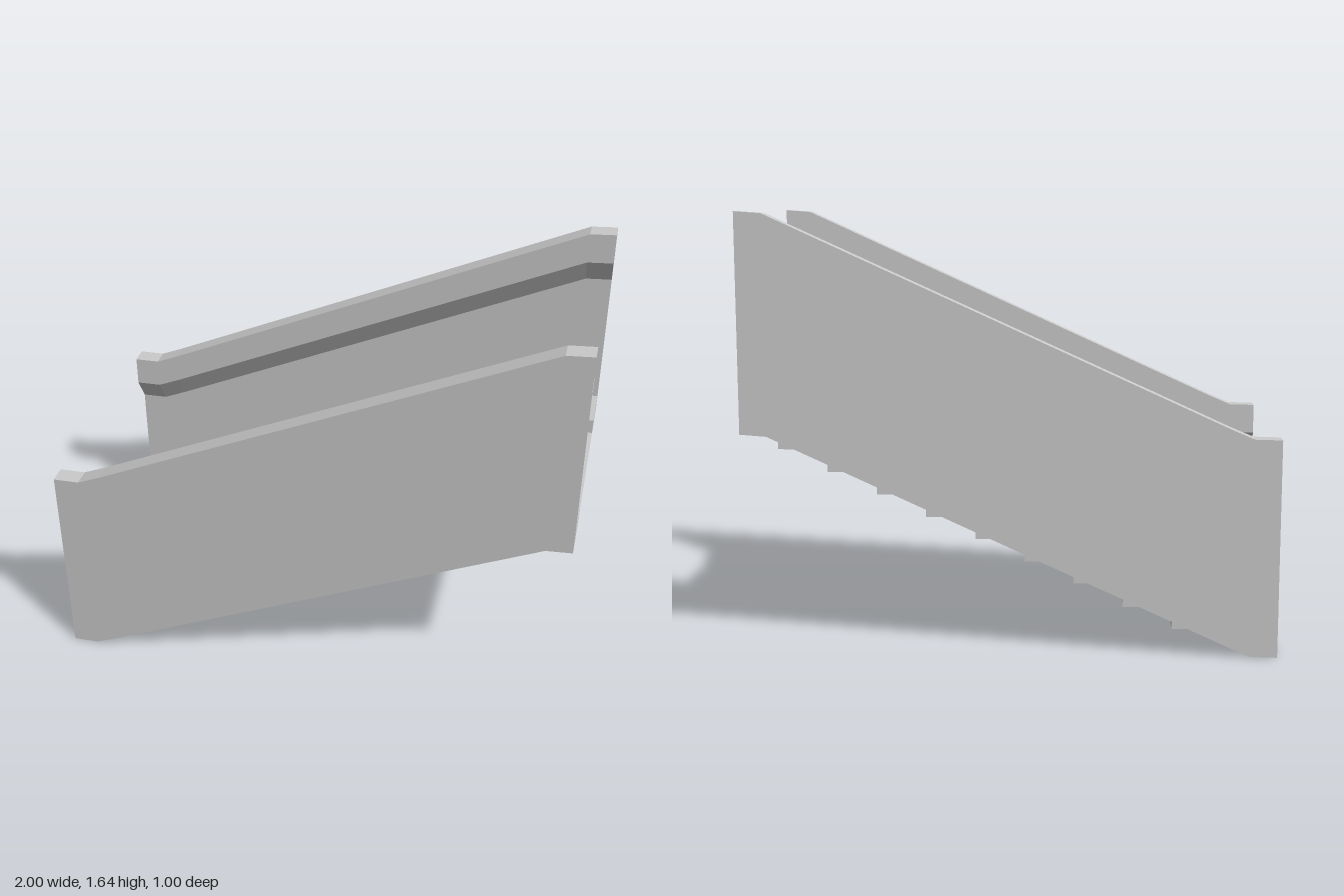
import * as THREE from 'three';

const material = new THREE.MeshStandardMaterial({ color: 0xcccccc, flatShading: true, side: THREE.DoubleSide });

// Slope line [x, y] followed by the walls and curbs, flat at both ends
const slope = [[-1, 0], [-0.9, 0.002], [-0.81, 0.04], [0.9, 0.818], [1, 0.825]];

// Stepped line [x, y] of the treads and risers
const stepY = [0, 0.045, 0.13, 0.22, 0.305, 0.392, 0.477, 0.563, 0.65, 0.737, 0.825];
const steps = [[-1, 0]];
for (let i = 1; i < stepY.length; i++) {
  const x = -1 + 0.19 * i;
  steps.push([x, stepY[i - 1]], [x, stepY[i]]);
}
steps.push([1, 0.825]);

const curbHeight = 0.06, curbInner = 0.3, wallInner = 0.49;

// Open sheet: cross-section [z, height] swept along a path [x, y]
function sweep(path, section, mirrored = false) {
  const positions = [];
  const point = (i, j) => [path[i][0], path[i][1] + section[j][1], section[j][0] * (mirrored ? -1 : 1)];
  for (let i = 0; i < path.length - 1; i++) {
    for (let j = 0; j < section.length - 1; j++) {
      const a = point(i, j), b = point(i + 1, j), c = point(i + 1, j + 1), d = point(i, j + 1);
      const quad = mirrored ? [a, c, b, a, d, c] : [a, b, c, a, c, d];
      positions.push(...quad.flat());
    }
  }
  const geometry = new THREE.BufferGeometry();
  geometry.setAttribute('position', new THREE.Float32BufferAttribute(positions, 3));
  geometry.computeVertexNormals();
  return geometry;
}

function add(parent, name, geometry) {
  const mesh = new THREE.Mesh(geometry, material);
  mesh.name = name;
  parent.add(mesh);
  return mesh;
}

// Upright curb face, from the curb's top edge down to the steps
function curbFace(side) {
  const outline = [...steps, ...slope.map(([x, y]) => [x, y + curbHeight]).reverse()];
  const geometry = new THREE.ShapeGeometry(new THREE.Shape(outline.map(([x, y]) => new THREE.Vector2(x, y))));
  if (side > 0) {
    geometry.index.array.reverse();
    geometry.computeVertexNormals();
  }
  return geometry.translate(0, 0, side * curbInner);
}

export function createModel() {
  const model = new THREE.Group();
  model.name = 'staircase';

  add(model, 'steps', sweep(steps, [[curbInner, 0], [-curbInner, 0]]));

  for (const side of [1, -1]) {
    const half = new THREE.Group();
    half.name = side > 0 ? 'leftSide' : 'rightSide';
    model.add(half);
    const mirrored = side < 0;

    // Outer wall, handrail with a slanted underside, and inner wall
    add(half, 'outerWall', sweep(slope, [[0.5, 0], [0.5, 0.82]], mirrored));
    add(half, 'handrail', sweep(slope, [[0.5, 0.82], [0.43, 0.82], [0.43, 0.7], [wallInner, 0.6]], mirrored));
    add(half, 'innerWall', sweep(slope, [[wallInner, 0.6], [wallInner, curbHeight]], mirrored));

    // Curb beside the steps, open underneath and capped at both ends
    add(half, 'curbTop', sweep(slope, [[wallInner, curbHeight], [curbInner, curbHeight]], mirrored));
    add(half, 'curbFace', curbFace(side));
    for (const [end, [x, y]] of [[-1, slope[0]], [1, slope[slope.length - 1]]]) {
      const cap = add(half, 'curbEnd', new THREE.PlaneGeometry(wallInner - curbInner, curbHeight));
      cap.rotation.y = end * Math.PI / 2;
      cap.position.set(x, y + curbHeight / 2, side * (wallInner + curbInner) / 2);
    }
  }
  return model;
}
